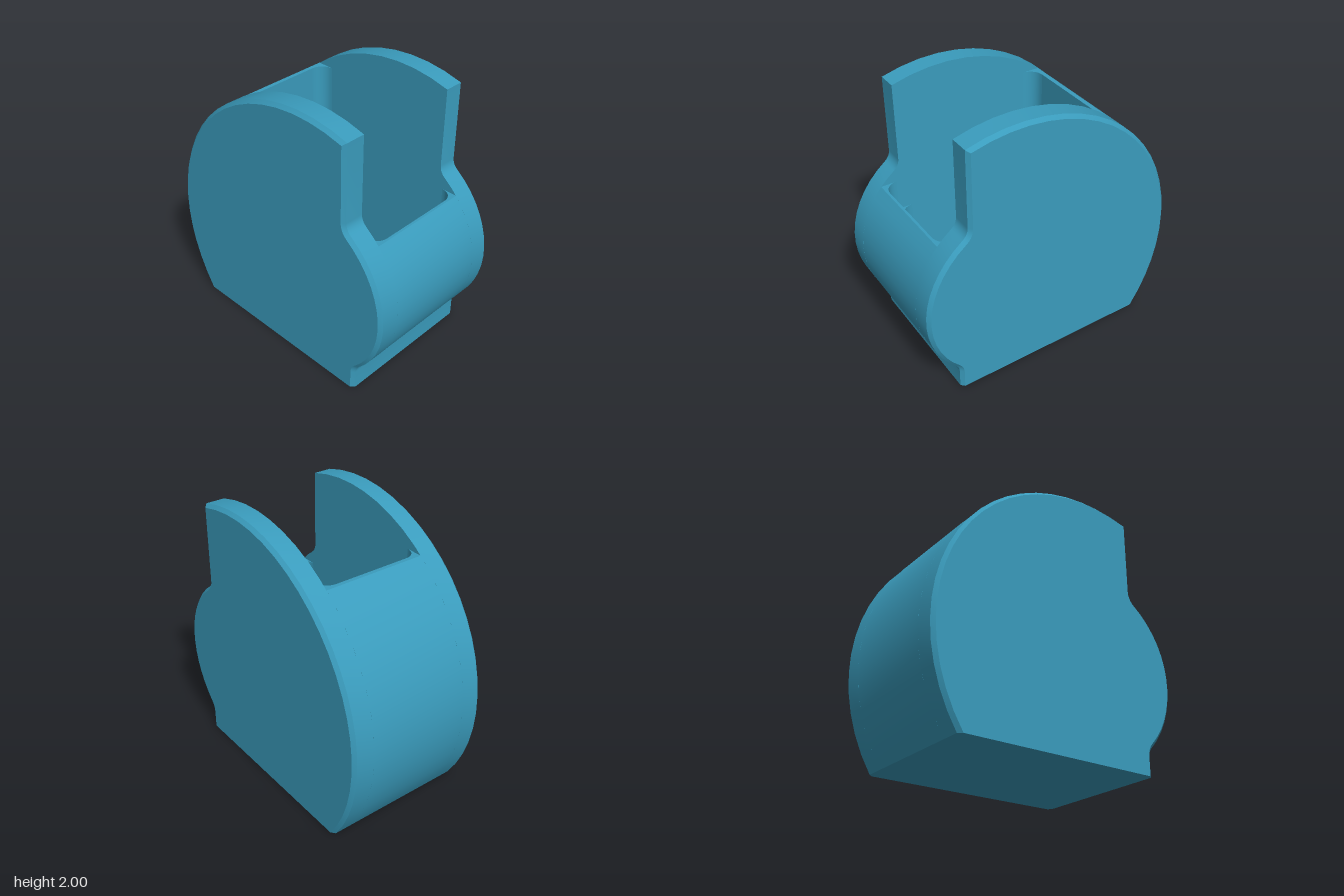
import * as THREE from 'three';
import { toCreasedNormals } from 'three/addons/utils/BufferGeometryUtils.js';

const CX = 0.29, CY = 0.71;        // shared centre of both rims
const R_BIG = 1.29, R_SMALL = 0.71;
const NECK_X = 0.77, FACE_X = 0.665, FILLET = 0.1;
const HALF = 0.555, SLOT = 0.39, CHAMFER = 0.025;
const FLOOR = 0.2, STEP = 0.95, LEDGE_FRONT = 1.19, LEDGE_BACK = 1.73;

const material = new THREE.MeshStandardMaterial({ color: 0x3a9cbd });

function arc(cx, cy, r, a0, a1, n) {
  const pts = [];
  for (let i = 0; i <= n; i++) {
    const a = a0 + (a1 - a0) * i / n;
    pts.push(new THREE.Vector2(cx + r * Math.cos(a), cy + r * Math.sin(a)));
  }
  return pts;
}

// Hollow fillet between an upright edge and the small rim (sign: -1 below, 1 above)
function fillet(x, sign) {
  const fx = x + FILLET;
  const fy = CY + sign * Math.sqrt((R_SMALL + FILLET) ** 2 - (fx - CX) ** 2);
  return { fx, fy, angle: Math.atan2(fy - CY, fx - CX) };
}
const low = fillet(NECK_X, -1), high = fillet(FACE_X, 1);

// Neck and lower fillet, inset by d
const neck = (d) => [
  new THREE.Vector2(NECK_X - d, 0),
  ...arc(low.fx, low.fy, FILLET + d, Math.PI, low.angle + Math.PI, 5),
];

// Big rim from angle a0 round to the ground
const bigRim = (d, a0, n) =>
  arc(CX, CY, R_BIG - d, a0, Math.PI + Math.asin(CY / (R_BIG - d)), n);

// Whole side outline, inset by d everywhere but at the base
function outline(d) {
  return [
    ...neck(d),
    ...arc(CX, CY, R_SMALL - d, low.angle, high.angle, 14).slice(1),
    ...arc(high.fx, high.fy, FILLET + d, high.angle + Math.PI, Math.PI, 5).slice(1),
    ...bigRim(d, Math.acos((FACE_X - d - CX) / (R_BIG - d)), 22),
  ];
}

// Closed loft through outlines given as [z, inset], from back to front
function loft(sections) {
  const rings = sections.map(([, d]) => outline(d));
  const n = rings[0].length, pos = [], index = [];
  rings.forEach((ring, k) => ring.forEach((p) => pos.push(p.x, p.y, sections[k][0])));
  for (let k = 0; k < rings.length - 1; k++) {
    for (let i = 0; i < n; i++) {
      const a = k * n + i, b = k * n + (i + 1) % n;
      index.push(a, b, b + n, a, b + n, a + n);
    }
  }
  const last = (rings.length - 1) * n;
  for (const [a, b, c] of THREE.ShapeUtils.triangulateShape(rings[0], [])) index.push(a, c, b);
  for (const [a, b, c] of THREE.ShapeUtils.triangulateShape(rings[rings.length - 1], []))
    index.push(last + a, last + b, last + c);
  const geo = new THREE.BufferGeometry();
  geo.setAttribute('position', new THREE.Float32BufferAttribute(pos, 3));
  geo.setIndex(index);
  return toCreasedNormals(geo.toNonIndexed(), 0.5);
}

export function createModel() {
  const group = new THREE.Group();
  const add = (name, geo) => {
    const mesh = new THREE.Mesh(geo, material);
    mesh.name = name;
    group.add(mesh);
    return mesh;
  };

  // Side cheeks with a chamfered outer edge
  add('frontCheek', loft([[SLOT, 0], [HALF - CHAMFER, 0], [HALF, CHAMFER]]));
  add('backCheek', loft([[-HALF, CHAMFER], [-HALF + CHAMFER, 0], [-SLOT, 0]]));

  // Core between the cheeks, with the stepped pocket open at the top
  const V = (x, y) => new THREE.Vector2(x, y);
  const core = new THREE.Shape([
    ...neck(0),
    ...arc(CX, CY, R_SMALL, low.angle, Math.asin((LEDGE_FRONT - CY) / R_SMALL), 11).slice(1),
    V(0.795, LEDGE_FRONT), V(0.795, STEP), V(0.69, STEP), V(0.69, FLOOR),
    V(-0.47, FLOOR), V(-0.47, LEDGE_BACK),
    ...bigRim(0, Math.PI - Math.asin((LEDGE_BACK - CY) / R_BIG), 14),
  ]);
  const coreGeo = new THREE.ExtrudeGeometry(core, { depth: 2 * SLOT, bevelEnabled: false });
  coreGeo.translate(0, 0, -SLOT);
  add('core', toCreasedNormals(coreGeo, 0.5));

  // Rounded upright corners of the pocket
  const r = 0.1;
  const corner = (x, sx, sz, y0, y1) => {
    const pts = [V(x, sz * SLOT),
      ...arc(0, 0, r, 0, Math.PI / 2, 8).map((p) =>
        V(x - sx * (r - p.x), sz * (SLOT - r + p.y)))];
    const geo = new THREE.ExtrudeGeometry(new THREE.Shape(pts), { depth: y1 - y0, bevelEnabled: false });
    geo.rotateX(-Math.PI / 2);
    geo.translate(0, y0, 0);
    add('pocketCorner', toCreasedNormals(geo, 0.5));
  };
  for (const sz of [-1, 1]) {
    corner(-0.47, -1, sz, FLOOR, LEDGE_BACK);
    corner(0.69, 1, sz, FLOOR, STEP);
    corner(0.795, 1, sz, STEP, LEDGE_FRONT);
  }
  return group;
}
